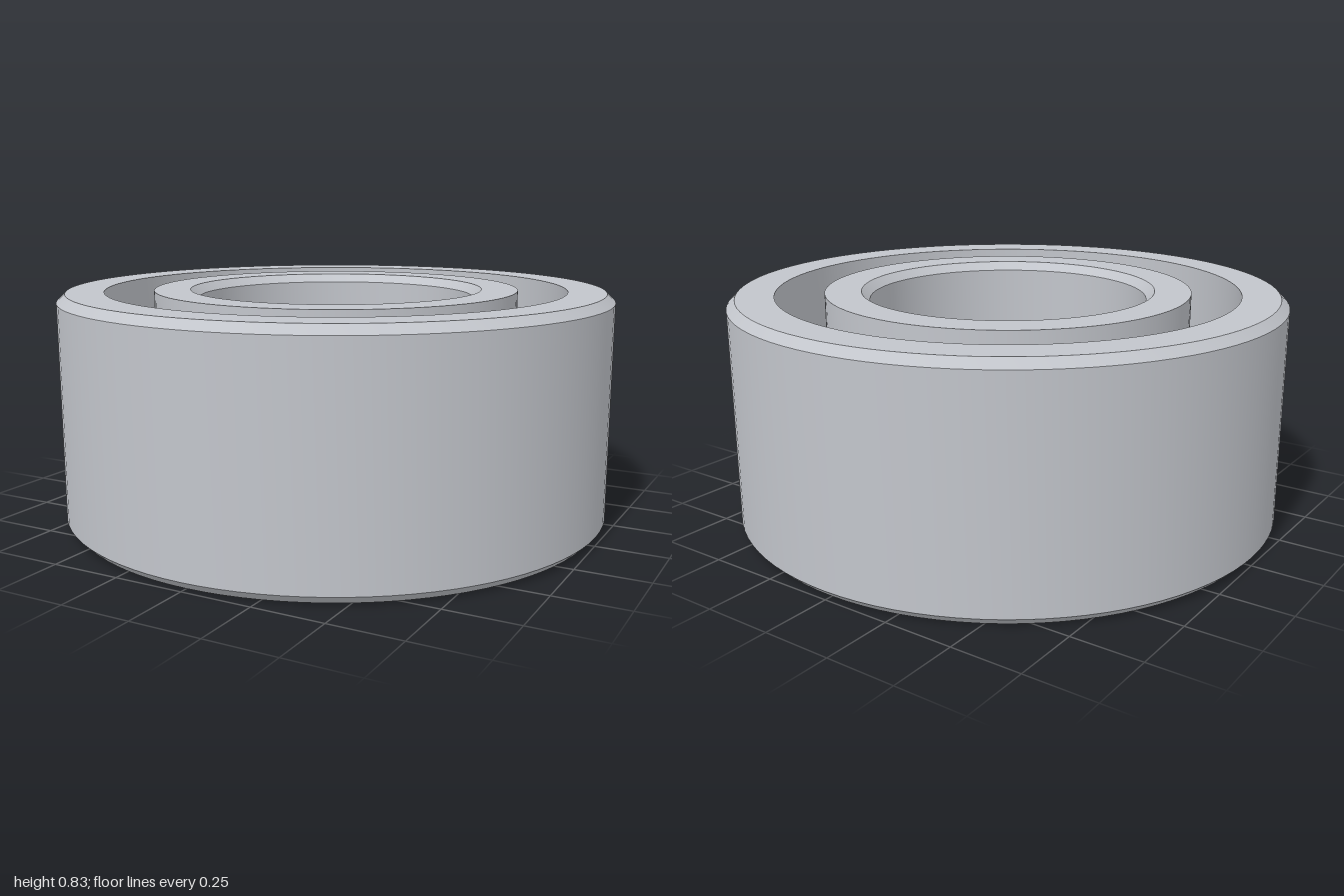
import * as THREE from 'three';
import { toCreasedNormals } from 'three/addons/utils/BufferGeometryUtils.js';

const HEIGHT = 0.834, MID = HEIGHT / 2;
const CHAMFER = 0.03;
const OUTER = 1, OUTER_INNER = 0.835;   // outer ring radii
const BORE = 0.5, INNER_OUTER = 0.66;   // inner ring radii
const PITCH = (OUTER_INNER + INNER_OUTER) / 2;
const BALL = 0.139, GROOVE = 0.142, BALLS = 12;

// Arc of the ball groove where it cuts the race wall; side is +1 (outer ring) or -1 (inner ring)
function groove(wall, side) {
  const half = Math.acos(Math.abs(wall - PITCH) / GROOVE);
  const steps = 14, points = [];
  for (let i = 0; i <= steps; i++) {
    const a = half * (1 - (2 * i) / steps);
    // outer ring wall runs downwards, inner ring wall runs upwards
    points.push([PITCH + side * GROOVE * Math.cos(a), MID + side * GROOVE * Math.sin(a)]);
  }
  return points;
}

// Closed, counter-clockwise profile turned round the y axis
function ring(name, profile, material) {
  const points = [...profile, profile[0]].map(([x, y]) => new THREE.Vector2(x, y));
  const geometry = toCreasedNormals(new THREE.LatheGeometry(points, 96), Math.PI / 6);
  const mesh = new THREE.Mesh(geometry, material);
  mesh.name = name;
  return mesh;
}

export function createModel() {
  const model = new THREE.Group();
  model.name = 'ballBearing';
  const steel = new THREE.MeshStandardMaterial({ color: 0xc2c5cb });
  steel.name = 'steel';

  // Outer ring: chamfered outside, grooved inside
  model.add(ring('outerRing', [
    [OUTER_INNER, 0],
    [OUTER - CHAMFER, 0],
    [OUTER, CHAMFER],
    [OUTER, HEIGHT - CHAMFER],
    [OUTER - CHAMFER, HEIGHT],
    [OUTER_INNER, HEIGHT],
    ...groove(OUTER_INNER, 1),
  ], steel));

  // Inner ring: grooved outside, chamfered bore
  model.add(ring('innerRing', [
    [BORE + CHAMFER, 0],
    [INNER_OUTER, 0],
    ...groove(INNER_OUTER, -1),
    [INNER_OUTER, HEIGHT],
    [BORE + CHAMFER, HEIGHT],
    [BORE, HEIGHT - CHAMFER],
    [BORE, CHAMFER],
  ], steel));

  // Balls spaced evenly in the race
  const balls = new THREE.Group();
  balls.name = 'balls';
  const ballGeometry = new THREE.SphereGeometry(BALL, 40, 24);
  for (let i = 0; i < BALLS; i++) {
    const a = (i / BALLS) * Math.PI * 2;
    const ball = new THREE.Mesh(ballGeometry, steel);
    ball.name = 'ball';
    ball.position.set(PITCH * Math.cos(a), MID, PITCH * Math.sin(a));
    balls.add(ball);
  }
  model.add(balls);
  return model;
}
